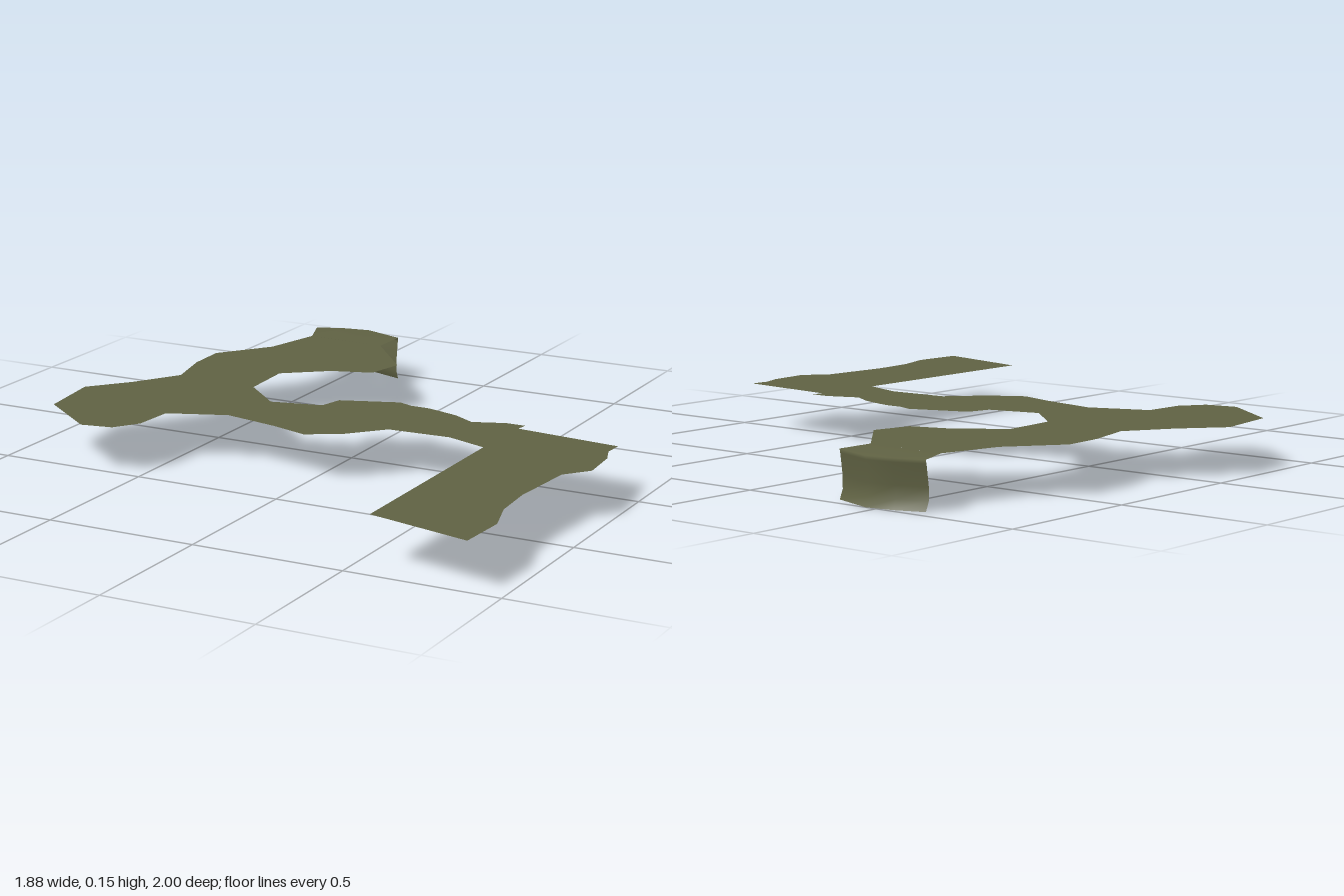
import * as THREE from 'three';

const TOP = 0.15; // height of the flat deck

export function createModel() {
  const model = new THREE.Group();
  model.name = 'pathway';
  const olive = new THREE.MeshStandardMaterial({ color: 0x606243, side: THREE.DoubleSide });
  olive.name = 'olive ground';

  // Flat winding deck, outlined as x, z corners from the neck round to the neck
  const outline = [
    // left arm and its rounded end
    [-0.60, -0.83], [-0.65, -0.63], [-0.78, -0.46], [-0.775, -0.32], [-0.735, -0.15], [-0.83, 0],
    [-0.94, 0.13], [-0.91, 0.36], [-0.70, 0.52], [-0.595, 0.5], [-0.54, 0.42], [-0.53, 0.28],
    // front edge of the middle
    [-0.34, 0.205], [-0.15, 0.245], [-0.02, 0.285], [0.09, 0.22], [0.19, 0.11], [0.40, 0.10], [0.54, 0.15],
    // long front strip
    [0.54, 0.91], [0.89, 0.995], [0.90, 0.82], [0.86, 0.69], [0.85, 0.54], [0.87, 0.3],
    [0.935, 0.22], [0.925, 0.08], [0.9, 0.01], [0.905, -0.055],
    // back edge of the middle
    [0.55, -0.09], [0.555, -0.13], [0.49, -0.13], [0.385, -0.09], [0.31, -0.135], [0.23, -0.16],
    [0.19, -0.17], [0.13, -0.17], [0.08, -0.19], [-0.11, -0.12], [-0.13, -0.04], [-0.30, 0],
    // inner side of the left arm
    [-0.44, -0.13], [-0.45, -0.325], [-0.31, -0.435], [-0.175, -0.48], [-0.145, -0.61], [-0.32, -0.82],
  ];
  const shape = new THREE.Shape(outline.map(([x, z]) => new THREE.Vector2(x, -z)));
  const deck = new THREE.Mesh(new THREE.ShapeGeometry(shape).rotateX(-Math.PI / 2), olive);
  deck.name = 'deck';
  deck.position.y = TOP;
  model.add(deck);

  // Back end: the deck runs from the neck to a curved rim, then drops as a bowed flap
  const neck = [[-0.32, -0.82], [-0.425, -0.824], [-0.51, -0.827], [-0.60, -0.83]];
  const rim = [[-0.315, -0.95], [-0.46, -1], [-0.55, -0.985], [-0.645, -0.95]];
  const drop = [[TOP, 0], [0.138, 0.003], [0.07, 0.013], [0.03, 0.013], [0, 0]]; // height, inward bow
  const rows = [
    neck.map(([x, z]) => [x, TOP, z]),
    ...drop.map(([y, bow]) => rim.map(([x, z]) => [x, y, z + bow])),
  ];
  const geometry = new THREE.PlaneGeometry(1, 1, rim.length - 1, rows.length - 1);
  rows.flat().forEach((p, i) => geometry.attributes.position.setXYZ(i, ...p));
  geometry.computeVertexNormals();
  const flap = new THREE.Mesh(geometry, olive);
  flap.name = 'backFlap';
  model.add(flap);

  return model;
}
